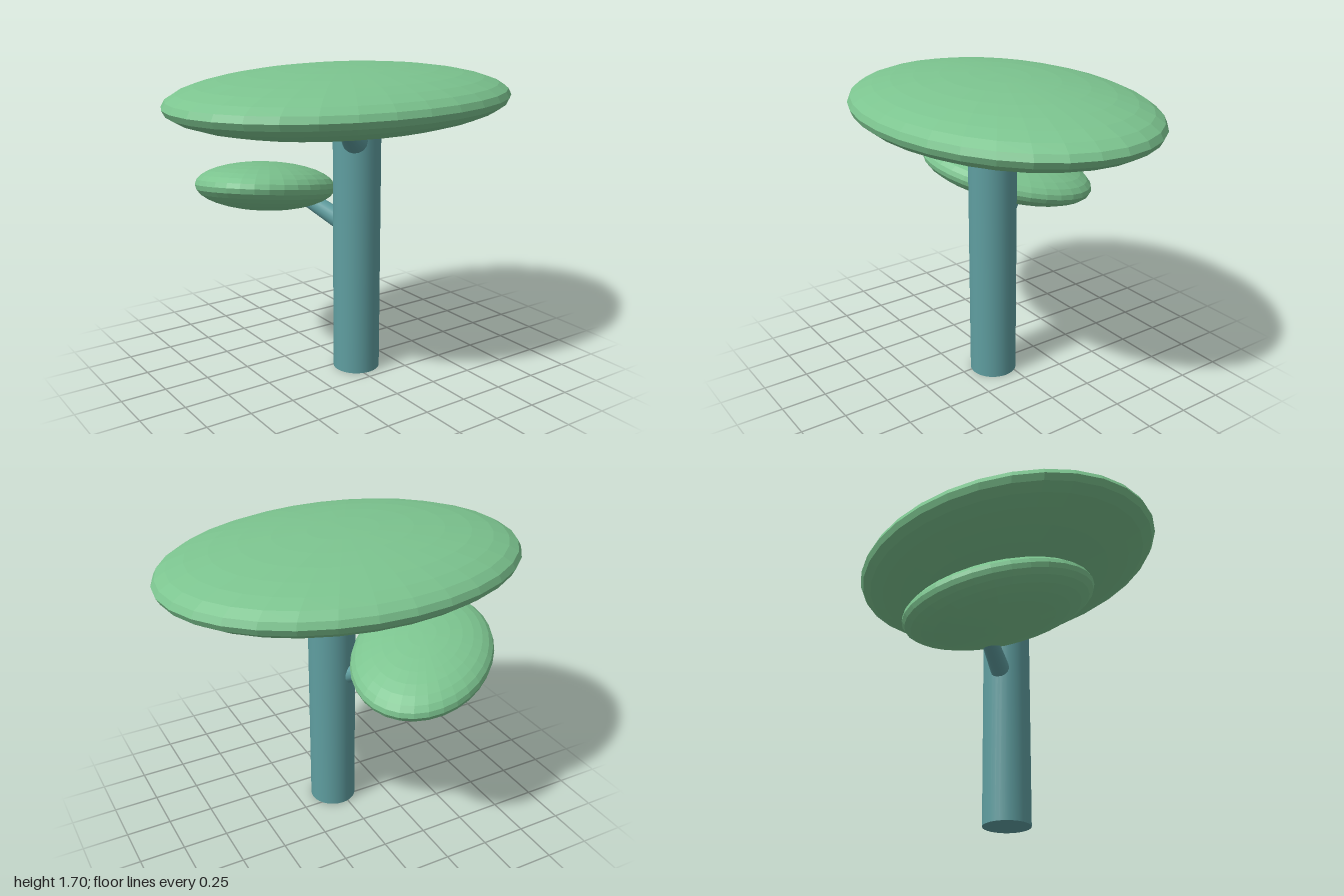
import * as THREE from 'three';

const bark = new THREE.MeshStandardMaterial({ color: 0x5f9ea0 });
const leaf = new THREE.MeshStandardMaterial({ color: 0x7cc48f, flatShading: true });

// Flattened leaf disc: a faceted sphere scaled into an ellipsoid
function canopy(name, radii, position) {
  const geometry = new THREE.SphereGeometry(1, 32, 16).scale(...radii);
  const mesh = new THREE.Mesh(geometry, leaf);
  mesh.name = name;
  mesh.position.set(...position);
  return mesh;
}

// Tapered limb running between two points
function limb(name, from, to, baseRadius, tipRadius, sides) {
  const start = new THREE.Vector3(...from);
  const end = new THREE.Vector3(...to);
  const axis = end.clone().sub(start);
  const geometry = new THREE.CylinderGeometry(tipRadius, baseRadius, axis.length(), sides);
  const mesh = new THREE.Mesh(geometry, bark);
  mesh.name = name;
  mesh.position.copy(start).add(end).multiplyScalar(0.5);
  mesh.quaternion.setFromUnitVectors(new THREE.Vector3(0, 1, 0), axis.normalize());
  return mesh;
}

export function createModel() {
  const tree = new THREE.Group();
  tree.name = 'tree';

  // Trunk and the branches that carry the two canopies
  tree.add(
    limb('trunk', [0.035, 0, 0.07], [0.035, 1.42, 0.07], 0.13, 0.13, 32),
    limb('leftBranch', [0.035, 1.31, 0.07], [0.46, 1.42, -0.1], 0.08, 0.04, 16),
    limb('rightBranch', [0.035, 1.29, 0.07], [-0.24, 1.42, 0.38], 0.08, 0.04, 16),
    limb('lowerBranch', [0.035, 0.8, 0.07], [-0.12, 0.95, -0.18], 0.06, 0.045, 16),
  );

  // Wide level canopy on top
  tree.add(canopy('mainCanopy', [1, 0.177, 0.73], [0, 1.525, 0]));

  // Small tilted canopy behind the trunk
  const small = canopy('smallCanopy', [0.51, 0.135, 0.375], [-0.325, 1.032, -0.285]);
  small.rotation.set(0, -Math.PI * 0.75, 0.205, 'YXZ');
  tree.add(small);

  return tree;
}
